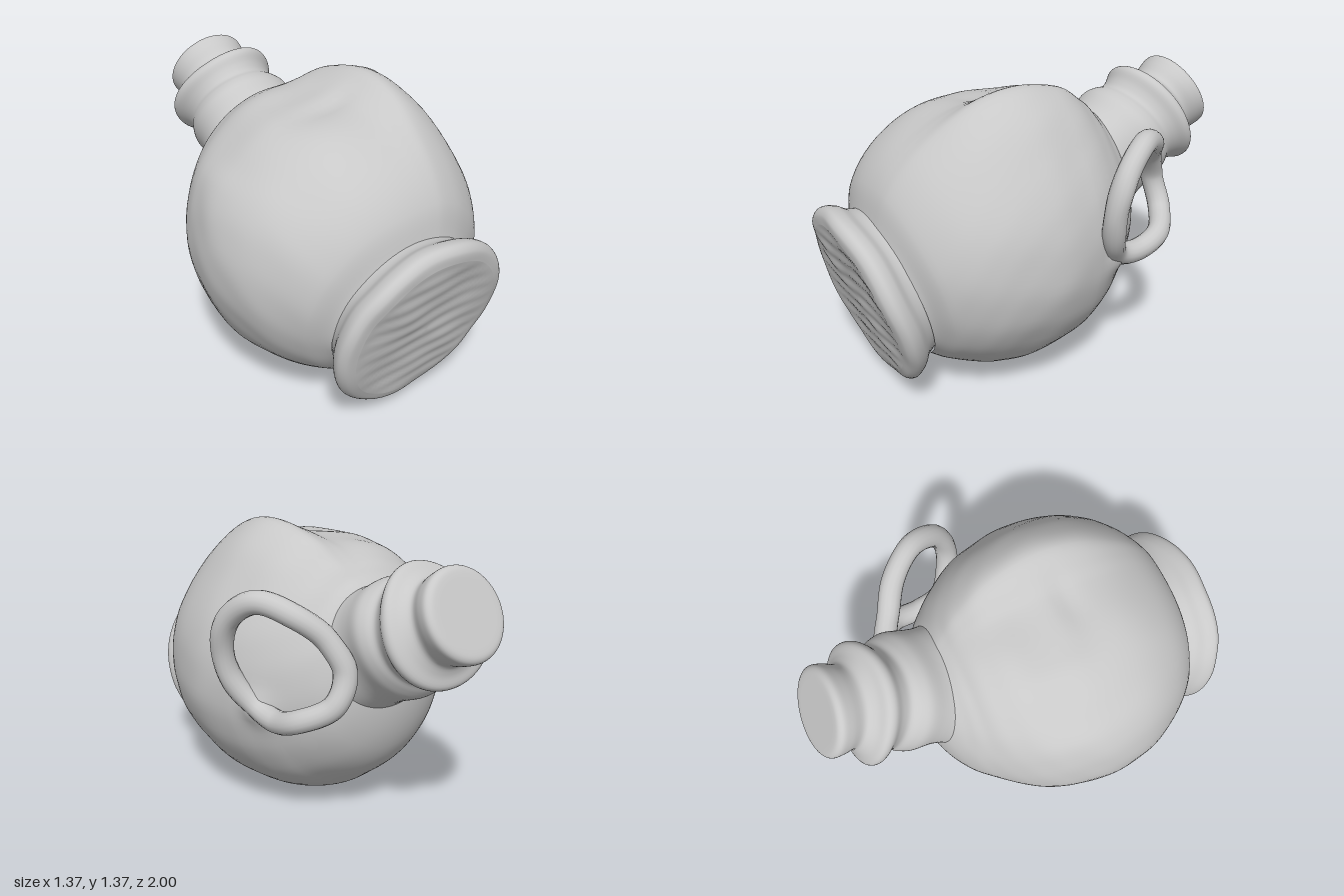
import * as THREE from 'three';
import { mergeVertices } from 'three/addons/utils/BufferGeometryUtils.js';

const clay = new THREE.MeshStandardMaterial({ color: 0xc8c8c8 });
clay.name = 'grey clay';

const { smoothstep } = THREE.MathUtils;

// gentle hand-worked unevenness
const lumps = (x, y, z) =>
  0.005 * Math.sin(13 * x + 7 * y) * Math.sin(11 * z + 5 * y) +
  0.002 * Math.sin(31 * y + 9 * z) * Math.sin(23 * x - 17 * z);

// apply a vertex rule, weld seams and smooth the normals
function soften(geometry, rule) {
  geometry.deleteAttribute('uv');
  geometry.deleteAttribute('normal');
  const p = geometry.attributes.position;
  const v = new THREE.Vector3();
  for (let i = 0; i < p.count; i++) {
    rule(v.fromBufferAttribute(p, i));
    p.setXYZ(i, v.x, v.y, v.z);
  }
  const welded = mergeVertices(geometry, 1e-4);
  welded.computeVertexNormals();
  return welded;
}

function addMesh(group, name, geometry) {
  const mesh = new THREE.Mesh(geometry, clay);
  mesh.name = name;
  group.add(mesh);
  return mesh;
}

// belly: uneven outline swept along leaning stations from foot to neck
function bodyGeometry() {
  const outline = new THREE.CatmullRomCurve3([
    [0.62, 0.75], [0.575, 0.93], [0.47, 1.12], [0.345, 1.29], [0.2, 1.38], [0.09, 1.335],
    [0, 1.295], [-0.2, 1.26], [-0.33, 1.22], [-0.5, 1.1], [-0.6, 1], [-0.665, 0.84],
    [-0.685, 0.65], [-0.65, 0.48], [-0.55, 0.28], [-0.4, 0.15], [-0.23, 0.05],
    [-0.02, 0], [0.2, 0.04], [0.4, 0.16], [0.55, 0.35], [0.62, 0.55],
  ].map(([x, y]) => new THREE.Vector3((x + 0.02) / 0.69, (y - 0.69) / 0.69, 0)), true);
  // each station: z, centre height, upright radius, sideways radius
  const stations = [
    [0.74, 0.49, 0.35, 0.4], [0.68, 0.54, 0.445, 0.505], [0.55, 0.615, 0.565, 0.61],
    [0.4, 0.675, 0.65, 0.67], [0.2, 0.69, 0.69, 0.69], [0, 0.69, 0.665, 0.648],
    [-0.1, 0.69, 0.63, 0.603], [-0.2, 0.69, 0.565, 0.538], [-0.3, 0.715, 0.48, 0.45],
    [-0.38, 0.77, 0.38, 0.355], [-0.46, 0.85, 0.2, 0.2], [-0.49, 0.88, 0.005, 0.005],
  ];
  const spine = new THREE.CatmullRomCurve3(stations.map(([z, y, r]) => new THREE.Vector3(z, y, r)));
  const widths = new THREE.SplineCurve(stations.map(([z, , , w]) => new THREE.Vector2(z, w)));
  const rings = 66, sides = 110, pos = [], index = [];
  for (let i = 0; i <= rings; i++) {
    const s = spine.getPoint(i / rings);
    const width = widths.getPoint(i / rings).y;
    const lean = 0.28 * smoothstep(s.x, 0.3, 0.74) + 0.2 * smoothstep(-s.x, 0.2, 0.46);
    // the uneven shoulder fades to round towards both ends
    const round = 0.85 * smoothstep(Math.abs(s.x - 0.17), 0.05, 0.5);
    for (let j = 0; j < sides; j++) {
      const o = outline.getPoint(j / sides);
      const circle = o.clone().normalize();
      circle.x *= 0.95;
      o.lerp(circle, round);
      const dx = o.x * width, dy = o.y * s.z, z = s.x + lean * dy;
      // small pinched dent on top
      const dent = dy > 0 ? 0.015 * Math.exp(-((dx + 0.03) ** 2 / 0.012 + (z - 0.26) ** 2 / 0.003)) : 0;
      // swelling where the handle joins the shoulder
      const root = dx > 0 ? 0.07 * Math.exp(-((dy + 0.07) ** 2 + (z + 0.15) ** 2) / 0.005) : 0;
      const k = 1 + lumps(dx, dy, z) + root;
      pos.push(-0.02 + dx * k, Math.max(0, s.y + dy * k - dent), z);
      if (i < rings) {
        const a = i * sides + j, b = i * sides + (j + 1) % sides;
        index.push(a, a + sides, b, b, a + sides, b + sides);
      }
    }
  }
  const g = new THREE.BufferGeometry();
  g.setAttribute('position', new THREE.Float32BufferAttribute(pos, 3));
  g.setIndex(index);
  g.computeVertexNormals();
  return g;
}

// turned part: flat end face of the given radius, then a smooth side profile
function turned(faceRadius, side, rule) {
  const profile = [];
  for (let i = 0; i < 24; i++) profile.push(new THREE.Vector2((faceRadius * i) / 24, 0));
  const curve = new THREE.SplineCurve(side.map((p) => new THREE.Vector2(...p)));
  profile.push(...curve.getPoints(60));
  return soften(new THREE.LatheGeometry(profile.reverse(), 80), rule);
}

export function createModel() {
  const group = new THREE.Group();
  group.name = 'jug';
  addMesh(group, 'body', bodyGeometry());

  // flared foot with a rippled underside
  const foot = addMesh(group, 'foot', turned(0.38, [
    [0.38, 0], [0.425, -0.012], [0.447, -0.045], [0.432, -0.09], [0.395, -0.13],
    [0.375, -0.17], [0.36, -0.22],
  ], (v) => {
    const r = Math.hypot(v.x, v.z);
    const fade = v.y > -0.005 ? 1 - smoothstep(r, 0.32, 0.4) : 0;
    v.y += 0.0025 * fade * Math.sin(v.z * 75 + 1.2 * Math.sin(v.x * 9)) + lumps(v.x, 0, v.z);
    v.z *= 0.975;
  }));
  foot.position.set(-0.025, 0.455, 0.9);
  foot.rotation.x = Math.atan2(0.96, -0.27);

  // neck, collar and stopper in one turned profile
  const neck = addMesh(group, 'neckAndStopper', turned(0.15, [
    [0.15, 0], [0.185, -0.004], [0.204, -0.025], [0.2, -0.07], [0.188, -0.13], [0.22, -0.165],
    [0.268, -0.19], [0.276, -0.225], [0.25, -0.27], [0.238, -0.315], [0.258, -0.355],
    [0.272, -0.405], [0.265, -0.485], [0.268, -0.555], [0.29, -0.655],
  ], (v) => {
    const a = Math.atan2(v.z, v.x);
    const k = 1 + 0.02 * Math.sin(3 * a + 14 * v.y) * smoothstep(-v.y, 0, 0.17);
    v.x *= k;
    v.z *= k;
    v.y += 0.012 * Math.sin(2 * a + 1) * smoothstep(-v.y, 0, 0.2);
  }));
  neck.position.set(0.015, 1.163, -0.905);
  neck.rotation.x = Math.atan2(-0.88, 0.48);

  // closed loop handle on the left side, joining shoulder and neck
  const loop = new THREE.CatmullRomCurve3([
    [0.632, 0.93, -0.05], [0.62, 1.06, -0.105], [0.565, 1.145, -0.23], [0.465, 1.1, -0.36],
    [0.36, 0.99, -0.45], [0.31, 0.86, -0.505], [0.37, 0.72, -0.51], [0.48, 0.645, -0.41],
    [0.505, 0.6, -0.27], [0.525, 0.63, -0.14], [0.6, 0.77, -0.055],
  ].map((p) => new THREE.Vector3(...p)), true);
  addMesh(group, 'handle', soften(new THREE.TubeGeometry(loop, 120, 0.052, 16, true), (v) => {
    v.x += lumps(v.x, v.y, v.z);
  }));

  return group;
}
